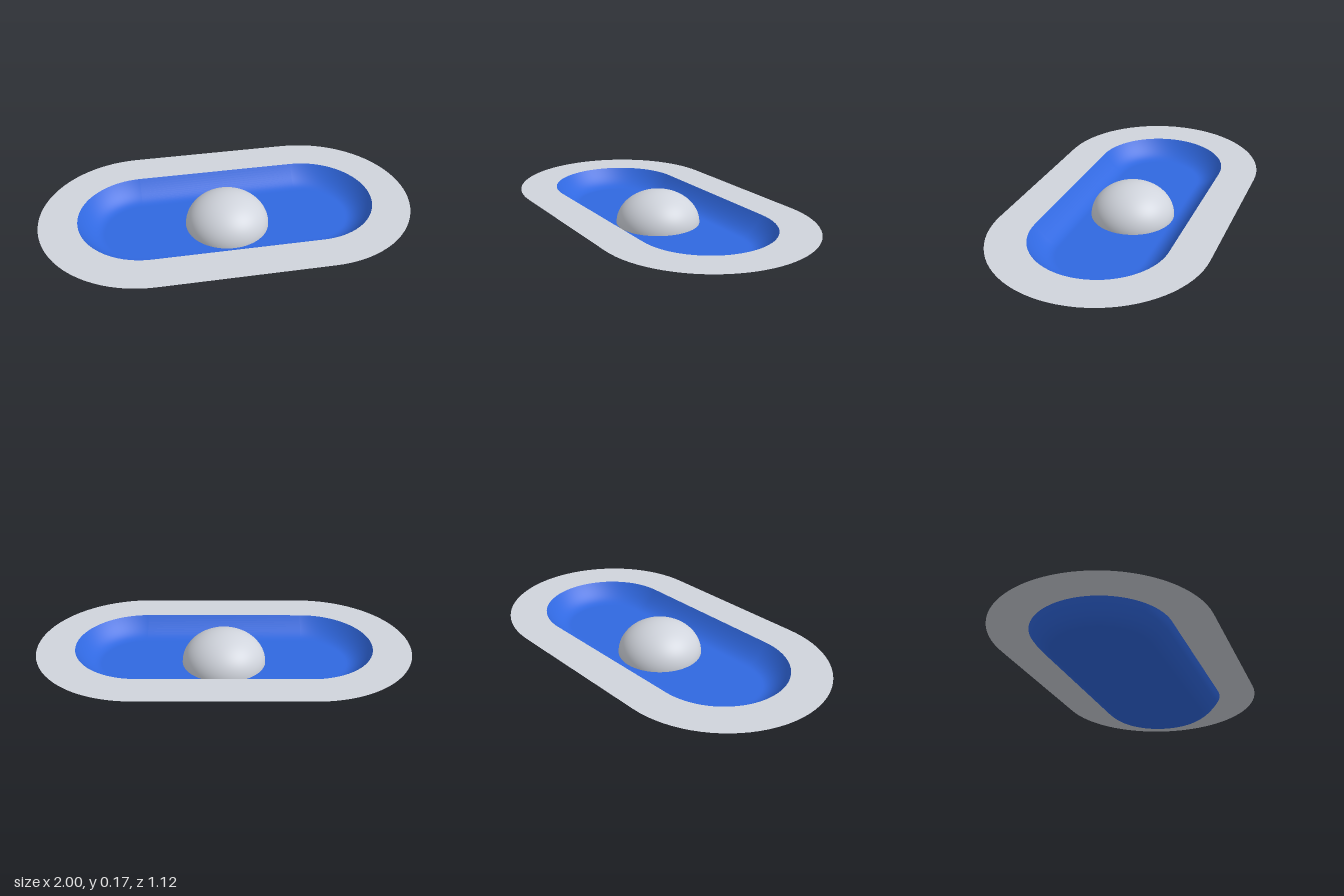
import * as THREE from 'three';

const HALF = 0.44;      // half length of the straight sides
const RIM_Y = 0.1;
const OUTER_R = 0.56;
const INNER_R = 0.357;
const CAP_STEPS = 40;

const blue = new THREE.MeshStandardMaterial({ color: 0x3068e0, side: THREE.DoubleSide });
blue.name = 'basin blue';
const grey = new THREE.MeshStandardMaterial({ color: 0xd0d4dc, side: THREE.DoubleSide });
grey.name = 'light grey';

// Closed stadium outline: two half circles joined by straight sides
function stadium(r) {
  const pts = [];
  for (const side of [1, -1]) {
    for (let i = 0; i <= CAP_STEPS; i++) {
      const a = -Math.PI / 2 + (Math.PI * i) / CAP_STEPS;
      pts.push(new THREE.Vector2(side * (HALF + r * Math.cos(a)), side * r * Math.sin(a)));
    }
  }
  return pts;
}

// Basin: stadium loops following a curved wall down to a flat floor
function basinGeometry() {
  const wall = new THREE.QuadraticBezierCurve(
    new THREE.Vector2(INNER_R, RIM_Y),
    new THREE.Vector2(0.29, 0),
    new THREE.Vector2(0.225, 0)
  );
  const profile = [...wall.getPoints(16), new THREE.Vector2(0.21, 0), new THREE.Vector2(0, 0)];
  const positions = [];
  for (const p of profile) {
    for (const q of stadium(p.x)) positions.push(q.x, p.y, q.y);
  }
  const n = 2 * (CAP_STEPS + 1);
  const index = [];
  for (let j = 0; j < profile.length - 1; j++) {
    for (let i = 0; i < n; i++) {
      const k = (i + 1) % n;
      const a = j * n + i, b = j * n + k, c = a + n, d = b + n;
      index.push(a, c, b, b, c, d);
    }
  }
  const geo = new THREE.BufferGeometry();
  geo.setAttribute('position', new THREE.Float32BufferAttribute(positions, 3));
  geo.setIndex(index);
  geo.computeVertexNormals();
  // Collapsed centre line of the floor faces straight up
  const normals = geo.attributes.normal;
  for (let i = (profile.length - 1) * n; i < normals.count; i++) normals.setXYZ(i, 0, 1, 0);
  return geo;
}

export function createModel() {
  const model = new THREE.Group();
  model.name = 'basinWithDome';
  const add = (name, geometry, material) => {
    const mesh = new THREE.Mesh(geometry, material);
    mesh.name = name;
    model.add(mesh);
    return mesh;
  };

  add('basin', basinGeometry(), blue);

  // Flat rim around the basin
  const rimShape = new THREE.Shape(stadium(OUTER_R));
  rimShape.holes.push(new THREE.Path(stadium(INNER_R)));
  const rim = new THREE.ShapeGeometry(rimShape);
  rim.rotateX(-Math.PI / 2);
  rim.translate(0, RIM_Y, 0);
  add('rim', rim, grey);

  // Flattened dome standing on the floor
  const dome = new THREE.SphereGeometry(0.225, 64, 24, 0, Math.PI * 2, 0, Math.PI / 2);
  dome.scale(1, 0.175 / 0.225, 1);
  add('dome', dome, grey);

  return model;
}
